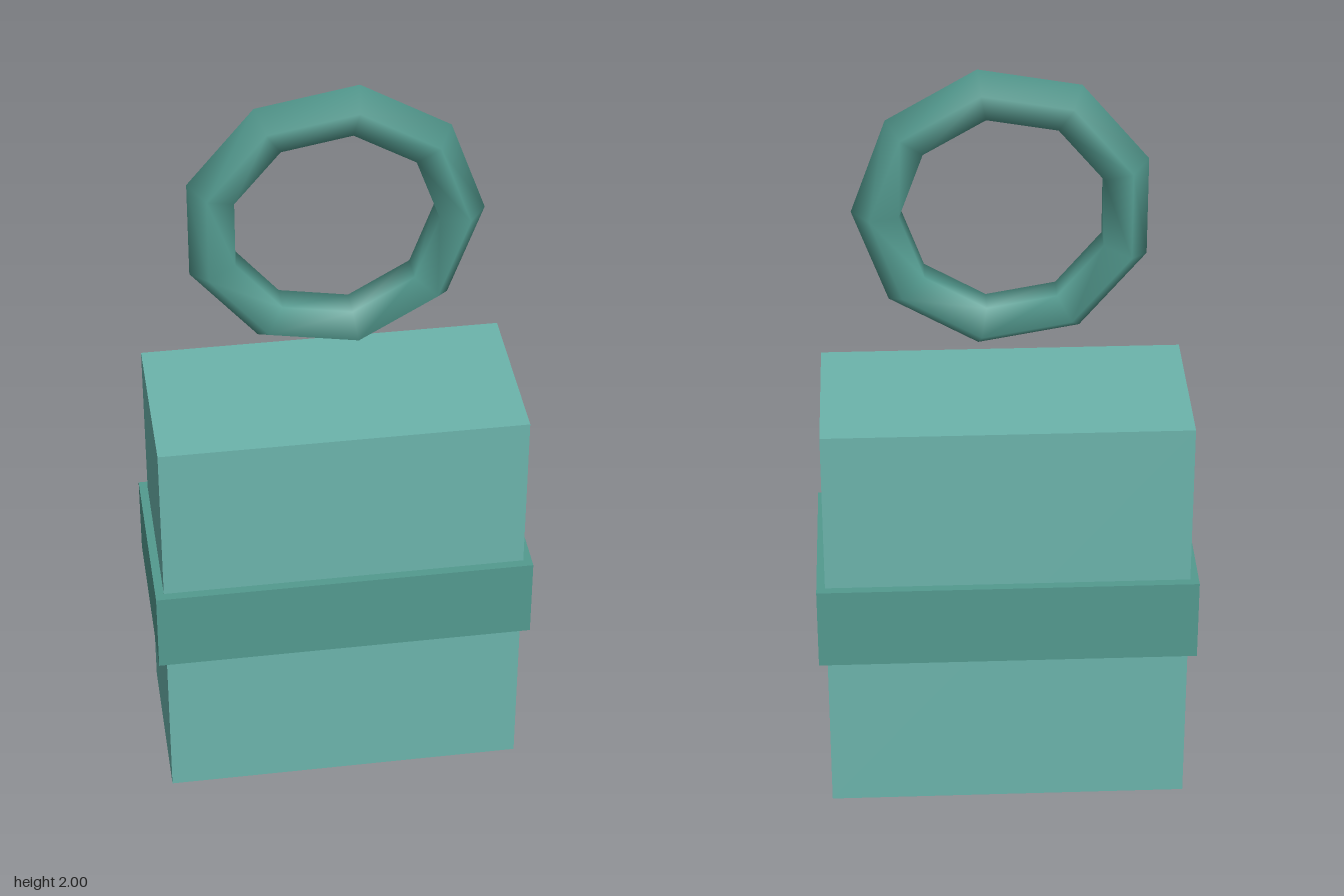
import * as THREE from 'three';

export function createModel() {
  const model = new THREE.Group();
  const light = new THREE.MeshStandardMaterial({ color: 0x6cb4ac });
  const dark = new THREE.MeshStandardMaterial({ color: 0x539a8f });

  const add = (name, geometry, material, y) => {
    const mesh = new THREE.Mesh(geometry, material);
    mesh.name = name;
    mesh.position.y = y;
    model.add(mesh);
  };

  // Upright block standing on the ground
  add('body', new THREE.BoxGeometry(0.936, 1.115, 0.444), light, 0.5575);
  // Wider belt around the middle of the block
  add('band', new THREE.BoxGeometry(0.98, 0.223, 0.49), dark, 0.5605);
  // Nine-sided ring floating above, with a five-sided tube
  add('ring', new THREE.TorusGeometry(0.312, 0.065, 5, 9), dark, 1.629);

  return model;
}
